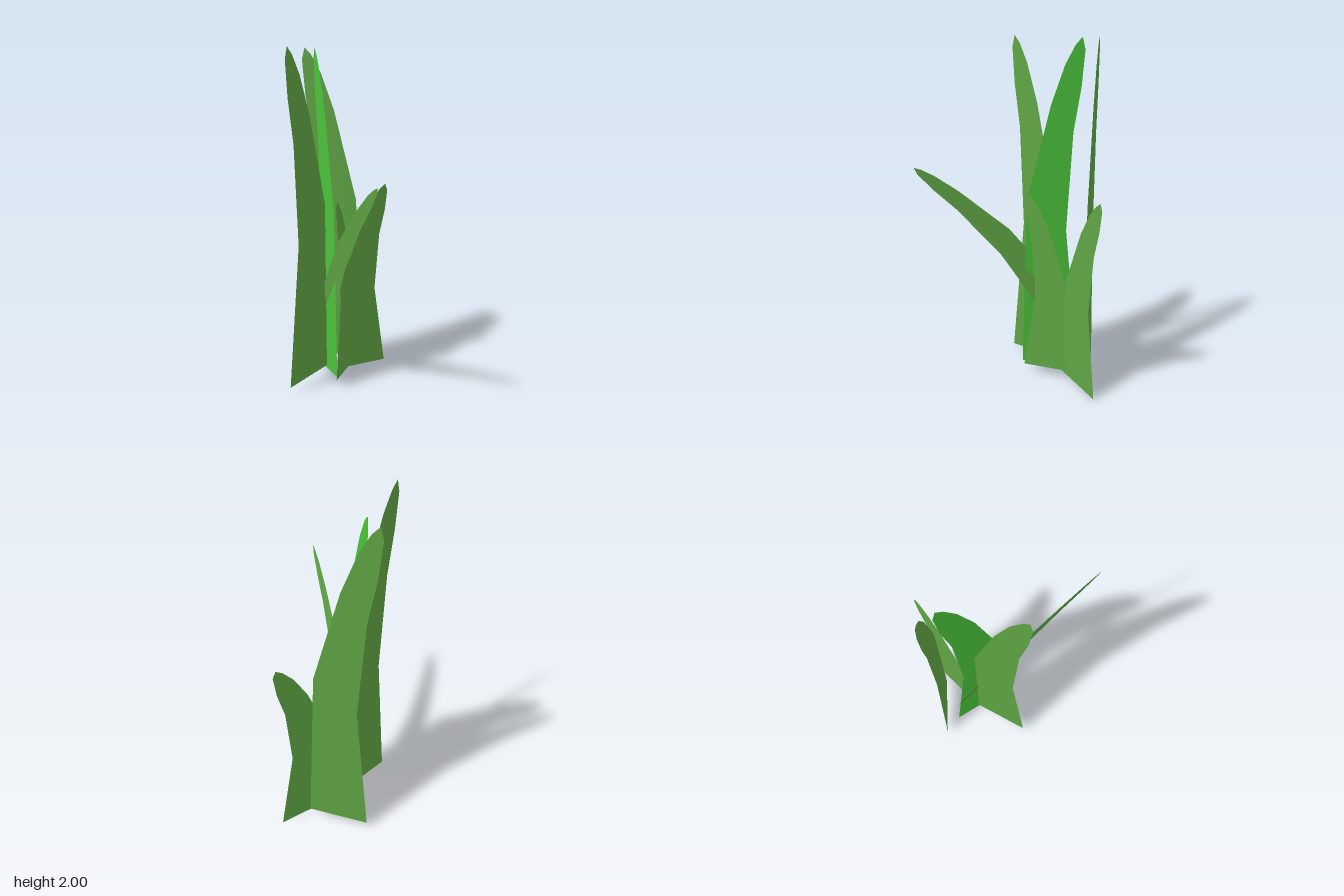
import * as THREE from 'three';

// Leaf outline: u runs across the base, v runs from base to tip
const OUTLINE = [
  [0, 0], [1, 0], [0.94, 0.525], [0.55, 0.81], [0.32, 0.925], [0.15, 0.98],
  [0.04, 1], [-0.01, 0.965], [0.04, 0.86], [0.16, 0.73], [0.25, 0.43],
];

// Flat leaf: inner and outer base corners, and the vector from base to tip
const LEAVES = [
  { name: 'tallLeafRight', inner: [-0.36, 0.04, -0.09], outer: [-0.07, 0.07, -0.28], up: [0.005, 1.96, 0.01] },
  { name: 'tallLeafBack', inner: [-0.13, 0.04, -0.54], outer: [0.175, 0.07, -0.385], up: [-0.01, 1.96, 0.01] },
  { name: 'tallLeafCentre', inner: [-0.085, 0.04, -0.43], outer: [-0.075, 0.07, -0.08], up: [-0.014, 1.96, 0], bright: true },
  { name: 'leaningLeaf', inner: [-0.062, 0.34, -0.23], outer: [-0.1, 0.41, -0.42], up: [0.006, 0.98, 0.778] },
  { name: 'shortLeafFront', inner: [-0.075, 0.045, -0.09], outer: [0.1, 0.065, -0.3], up: [0.004, 1.095, 0] },
  { name: 'shortLeafLeft', inner: [0.347, 0.003, -0.395], outer: [0.02, 0.025, -0.3], up: [0.012, 1.17, -0.004] },
];

const green = new THREE.MeshStandardMaterial({ color: 0x5fa544, side: THREE.DoubleSide });
const brightGreen = new THREE.MeshStandardMaterial({ color: 0x4bc43a, side: THREE.DoubleSide });

function makeLeaf({ name, inner, outer, up, bright }) {
  const shape = new THREE.Shape(OUTLINE.map(([u, v]) => new THREE.Vector2(u, v)));
  const geometry = new THREE.ShapeGeometry(shape);
  const base = new THREE.Vector3(...inner);
  const across = new THREE.Vector3(...outer).sub(base);
  const rise = new THREE.Vector3(...up);
  // The base edge slopes, and the slope fades out towards the tip
  const pos = geometry.attributes.position;
  for (let i = 0; i < pos.count; i++) {
    const u = pos.getX(i), v = pos.getY(i);
    const p = base.clone().addScaledVector(across, u).addScaledVector(rise, v);
    if (name !== 'leaningLeaf') p.y -= across.y * u * v;
    pos.setXYZ(i, p.x, p.y, p.z);
  }
  geometry.computeVertexNormals();
  const leaf = new THREE.Mesh(geometry, bright ? brightGreen : green);
  leaf.name = name;
  return leaf;
}

export function createModel() {
  const plant = new THREE.Group();
  plant.name = 'leafClump';
  LEAVES.forEach((leaf) => plant.add(makeLeaf(leaf)));
  return plant;
}
